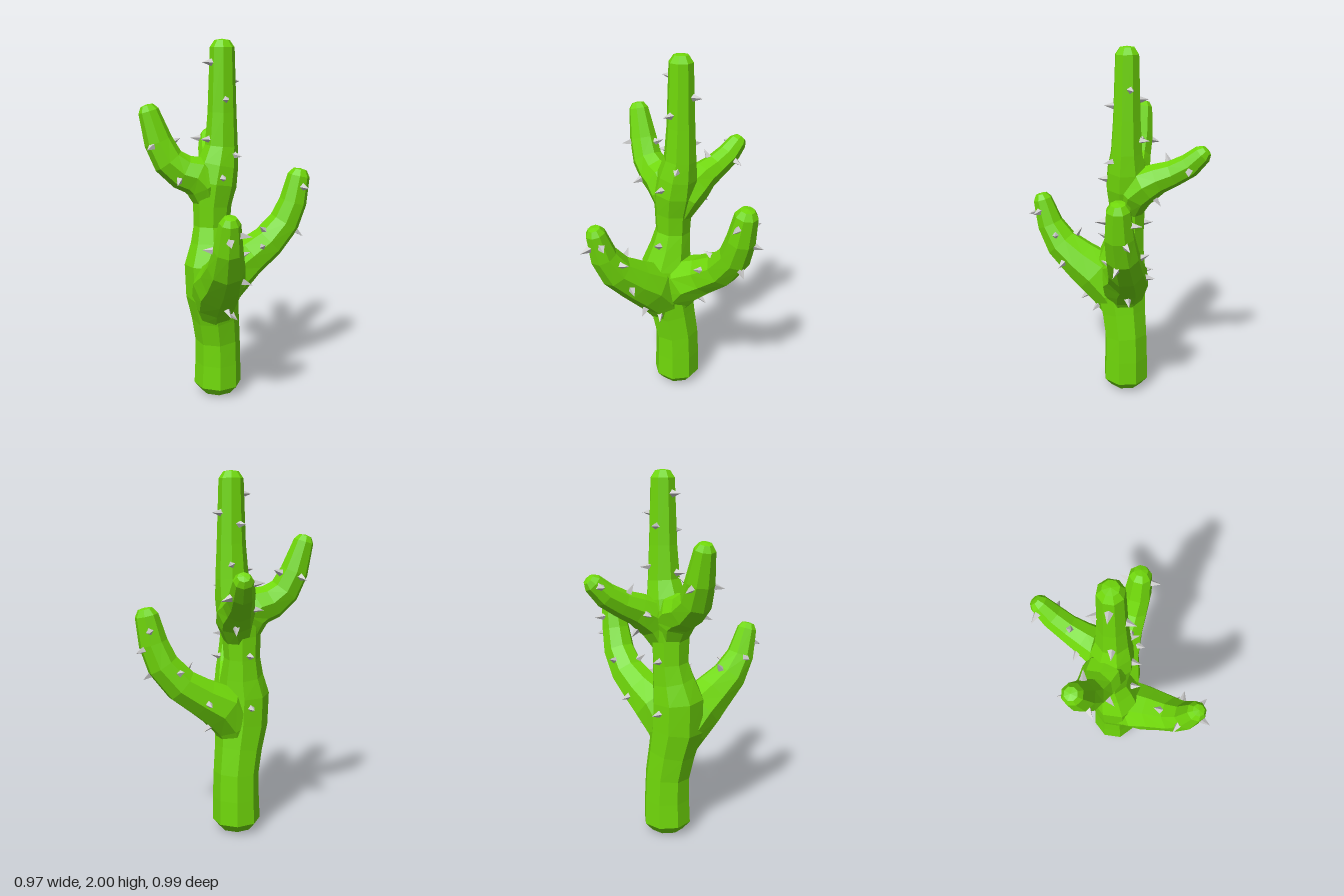
import * as THREE from 'three';

const SIDES = 8;
const green = new THREE.MeshStandardMaterial({ color: 0x70d80a, flatShading: true });
const grey = new THREE.MeshStandardMaterial({ color: 0xcccccc, flatShading: true });

// Each limb is a list of [x, y, z, radius] along its axis
const limbs = {
  trunk: [
    [-0.092, 0.015, -0.064, 0.135], [-0.088, 0.2, -0.064, 0.131], [-0.09, 0.34, -0.062, 0.128],
    [-0.11, 0.48, -0.05, 0.134], [-0.135, 0.62, -0.035, 0.148], [-0.143, 0.79, -0.038, 0.145],
    [-0.125, 0.9, -0.055, 0.118], [-0.118, 1.0, -0.07, 0.1], [-0.115, 1.12, -0.068, 0.106],
    [-0.1, 1.24, -0.066, 0.122], [-0.08, 1.34, -0.063, 0.112], [-0.06, 1.44, -0.06, 0.09],
    [-0.055, 1.62, -0.06, 0.078], [-0.052, 2, -0.06, 0.066],
  ],
  leftArm: [
    [-0.12, 0.47, -0.05, 0.09], [-0.08, 0.62, -0.05, 0.122], [0, 0.732, -0.05, 0.138],
    [0.11, 0.79, -0.05, 0.113], [0.23, 0.868, -0.035, 0.1], [0.325, 0.98, -0.01, 0.09],
    [0.37, 1.1, 0.01, 0.08], [0.41, 1.29, 0.02, 0.064],
  ],
  frontArm: [
    [-0.12, 0.46, -0.04, 0.1], [-0.145, 0.6, 0.015, 0.13], [-0.172, 0.71, 0.105, 0.14],
    [-0.2, 0.777, 0.2, 0.119], [-0.238, 0.867, 0.305, 0.098], [-0.265, 0.98, 0.37, 0.077],
    [-0.28, 1.16, 0.42, 0.055],
  ],
  rightArm: [
    [-0.11, 1.08, -0.07, 0.08], [-0.15, 1.23, -0.08, 0.112], [-0.205, 1.285, -0.098, 0.109],
    [-0.27, 1.305, -0.118, 0.097], [-0.34, 1.365, -0.14, 0.086], [-0.385, 1.47, -0.165, 0.077],
    [-0.437, 1.665, -0.19, 0.055],
  ],
  backArm: [
    [-0.1, 1.08, -0.07, 0.08], [-0.06, 1.21, -0.105, 0.106], [-0.035, 1.265, -0.165, 0.102],
    [-0.018, 1.3, -0.23, 0.085], [0.01, 1.335, -0.31, 0.072], [0.042, 1.385, -0.39, 0.066],
    [0.078, 1.475, -0.477, 0.052],
  ],
};

// Approximate spots of the spikes; each is snapped to the nearest limb surface
const spikeSpots = [
  // upper trunk
  [-0.16, 1.88, -0.06], [0.05, 1.78, -0.08], [-0.08, 1.69, 0.05], [-0.08, 1.72, -0.17],
  [-0.01, 1.51, -0.16], [-0.17, 1.48, -0.05], [-0.01, 1.39, 0.06], [-0.12, 1.28, 0.1],
  // lower trunk
  [-0.12, 0.73, -0.22], [-0.12, 1.02, -0.2], [-0.13, 0.95, 0.08],
  // left arm
  [0.39, 1.19, 0.12], [0.47, 1.06, -0.03], [0.42, 1.17, -0.08], [0.39, 0.92, 0.03], [0.26, 0.96, -0.15],
  [0.12, 0.77, -0.19], [0.18, 0.95, 0], [0.13, 0.88, 0.08], [0.08, 0.62, -0.06],
  // front arm
  [-0.31, 1.03, 0.48], [-0.21, 1.06, 0.44], [-0.36, 0.98, 0.31], [-0.14, 0.94, 0.34],
  [-0.12, 0.77, 0.31], [-0.24, 0.94, 0.2], [-0.15, 0.56, 0.18], [-0.08, 0.51, 0.12],
  // right arm
  [-0.47, 1.44, -0.1], [-0.39, 1.43, -0.28], [-0.28, 1.47, -0.17], [-0.35, 1.25, -0.01],
  // back arm
  [0.14, 1.35, -0.37], [-0.03, 1.44, -0.47], [-0.03, 1.41, -0.28], [-0.01, 1.18, -0.22], [-0.13, 1.28, -0.25],
];

// Faceted tube with bevelled ends, lofted through the axis points
function limbGeometry(points) {
  const axis = points.map(([x, y, z, r]) => ({ p: new THREE.Vector3(x, y, z), r }));
  const n = axis.length;
  const first = axis[0], last = axis[n - 1];
  const startDir = axis[1].p.clone().sub(first.p).normalize();
  const endDir = last.p.clone().sub(axis[n - 2].p).normalize();
  const rings = [
    { p: first.p, r: first.r * 0.7 },
    { p: first.p.clone().addScaledVector(startDir, first.r * 0.35), r: first.r },
    ...axis.slice(1, -1),
    { p: last.p.clone().addScaledVector(endDir, -last.r * 0.65), r: last.r },
    { p: last.p.clone().addScaledVector(endDir, -last.r * 0.1), r: last.r * 0.62 },
  ];

  const positions = [], index = [];
  const side = new THREE.Vector3(1, 0, 0);
  rings.forEach(({ p, r }, i) => {
    const dir = rings[Math.min(i + 1, rings.length - 1)].p.clone()
      .sub(rings[Math.max(i - 1, 0)].p).normalize();
    side.addScaledVector(dir, -side.dot(dir)).normalize();
    const other = dir.clone().cross(side);
    for (let k = 0; k < SIDES; k++) {
      const a = ((k + 0.5) / SIDES) * Math.PI * 2;
      const v = p.clone().addScaledVector(side, r * Math.cos(a)).addScaledVector(other, r * Math.sin(a));
      positions.push(v.x, v.y, v.z);
    }
  });
  const startPole = rings.length * SIDES, endPole = startPole + 1;
  const startTip = first.p.clone().addScaledVector(startDir, -first.r * 0.1);
  positions.push(...startTip.toArray(), ...last.p.toArray());

  const top = (rings.length - 1) * SIDES;
  for (let k = 0; k < SIDES; k++) {
    const m = (k + 1) % SIDES;
    for (let i = 0; i < top; i += SIDES) {
      index.push(i + k, i + m, i + SIDES + m, i + k, i + SIDES + m, i + SIDES + k);
    }
    index.push(startPole, m, k, endPole, top + k, top + m);
  }
  const geometry = new THREE.BufferGeometry();
  geometry.setAttribute('position', new THREE.Float32BufferAttribute(positions, 3));
  geometry.setIndex(index);
  geometry.computeVertexNormals();
  return geometry;
}

// Closest surface point and outward direction for a spot
function snapToLimb(spot) {
  let best = { gap: Infinity };
  for (const points of Object.values(limbs)) {
    for (let i = 0; i < points.length - 1; i++) {
      const a = new THREE.Vector3(...points[i]), b = new THREE.Vector3(...points[i + 1]);
      const line = new THREE.Line3(a, b);
      const t = line.closestPointToPointParameter(spot, true);
      const centre = line.at(t, new THREE.Vector3());
      const r = THREE.MathUtils.lerp(points[i][3], points[i + 1][3], t);
      const gap = spot.distanceTo(centre) - r;
      if (gap < best.gap) best = { gap, centre, r };
    }
  }
  const dir = spot.clone().sub(best.centre).normalize();
  return { dir, base: best.centre.addScaledVector(dir, best.r * 0.92) };
}

export function createModel() {
  const model = new THREE.Group();
  model.name = 'cactus';
  for (const [name, points] of Object.entries(limbs)) {
    const mesh = new THREE.Mesh(limbGeometry(points), green);
    mesh.name = name;
    model.add(mesh);
  }

  // Four-sided spikes, base at the origin of the cone
  const spikes = new THREE.Group();
  spikes.name = 'spikes';
  const cone = new THREE.ConeGeometry(0.022, 0.06, 4).translate(0, 0.025, 0);
  const up = new THREE.Vector3(0, 1, 0);
  for (const spot of spikeSpots) {
    const { dir, base } = snapToLimb(new THREE.Vector3(...spot));
    const spike = new THREE.Mesh(cone, grey);
    spike.name = 'spike';
    spike.position.copy(base);
    spike.quaternion.setFromUnitVectors(up, dir);
    spikes.add(spike);
  }
  model.add(spikes);
  return model;
}
